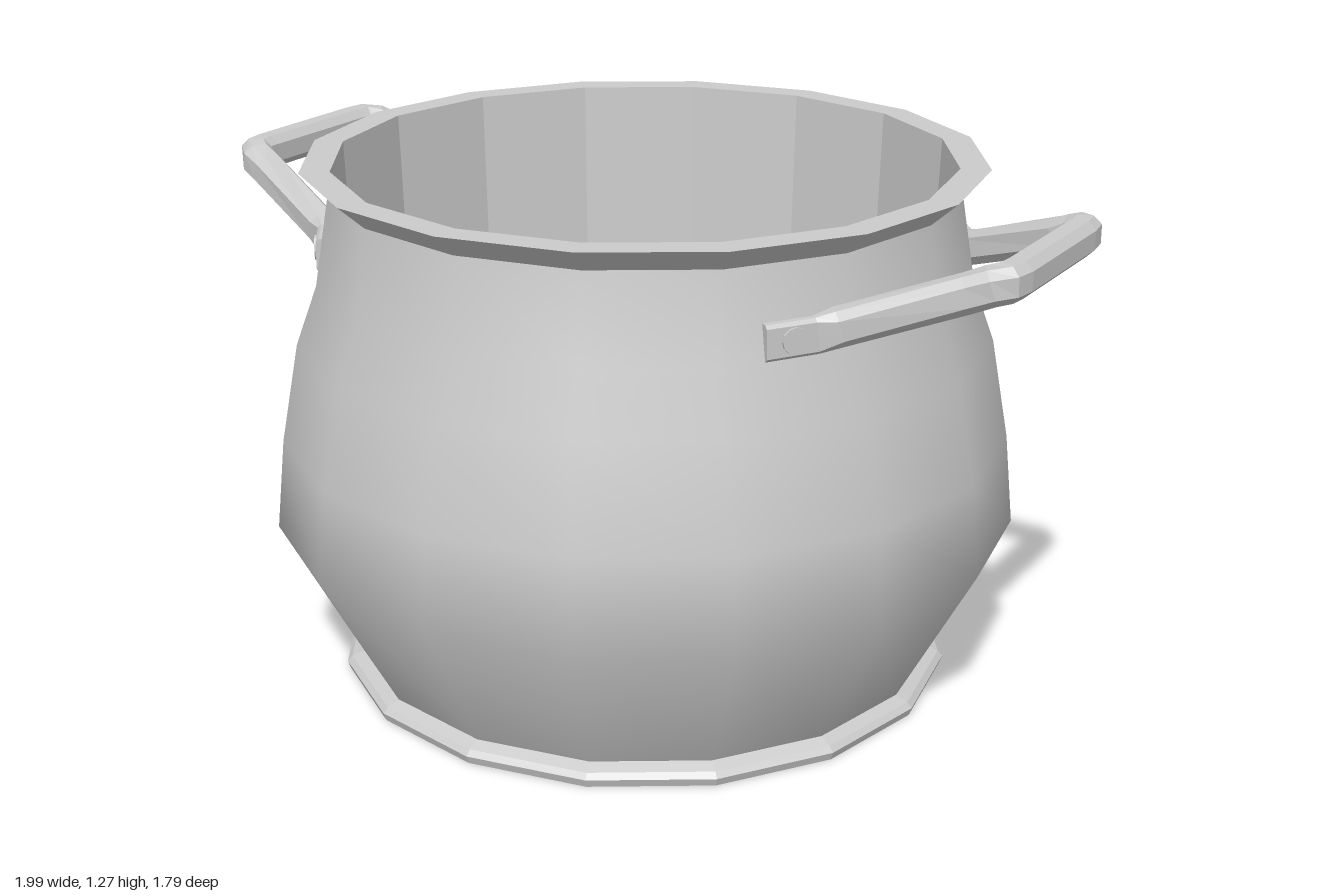
import * as THREE from 'three';

const SIDES = 16;
const TURN = THREE.MathUtils.degToRad(9.3);
const smooth = new THREE.MeshStandardMaterial({ color: 0xcccccc });
const flat = new THREE.MeshStandardMaterial({ color: 0xcccccc, flatShading: true });

// Sixteen-sided turned part from [radius, height] pairs
function turned(name, profile, material) {
  const points = profile.map(([r, y]) => new THREE.Vector2(r, y));
  const mesh = new THREE.Mesh(new THREE.LatheGeometry(points, SIDES, TURN), material);
  mesh.name = name;
  return mesh;
}

// Sweeps a chamfered bar along stations [x, y, z, halfThickness]
function sweptBar(stations, halfHeight) {
  const centres = stations.map(([x, y, z]) => new THREE.Vector3(x, y, z));
  const last = centres.length - 1;
  const positions = [], index = [];
  const up = new THREE.Vector3(0, 1, 0);
  centres.forEach((c, i) => {
    const before = c.clone().sub(centres[Math.max(i - 1, 0)]).normalize();
    const after = centres[Math.min(i + 1, last)].clone().sub(c).normalize();
    const along = before.add(after).normalize();
    const side = along.clone().cross(up).normalize();
    const rise = side.clone().cross(along);
    const w = stations[i][3], h = halfHeight;
    const cw = w * 0.5, ch = Math.min(w, h) * 0.5;
    const section = [[w, h - ch], [cw, h], [-cw, h], [-w, h - ch],
      [-w, ch - h], [-cw, -h], [cw, -h], [w, ch - h]];
    for (const [s, r] of section) {
      const p = c.clone().addScaledVector(side, s).addScaledVector(rise, r);
      positions.push(p.x, p.y, p.z);
    }
  });
  for (let i = 0; i < last; i++) {
    for (let j = 0; j < 8; j++) {
      const a = i * 8 + j, b = i * 8 + (j + 1) % 8;
      index.push(a, b, a + 8, b, b + 8, a + 8);
    }
  }
  // End caps
  for (let j = 1; j < 7; j++) {
    index.push(0, j + 1, j);
    index.push(last * 8, last * 8 + j, last * 8 + j + 1);
  }
  // Reverse the winding: side x rise points back along the path
  for (let k = 0; k < index.length; k += 3) {
    [index[k + 1], index[k + 2]] = [index[k + 2], index[k + 1]];
  }
  const geometry = new THREE.BufferGeometry();
  geometry.setAttribute('position', new THREE.Float32BufferAttribute(positions, 3));
  geometry.setIndex(index);
  geometry.computeVertexNormals();
  return geometry;
}

// Bent bar handle with flattened, bolted ends, built facing +z
function createHandle(name, angle) {
  const handle = new THREE.Group();
  handle.name = name;
  const half = [
    [0.482, 1.052, 0.594, 0.015],
    [0.385, 1.055, 0.665, 0.016],
    [0.345, 1.068, 0.70, 0.036],
    [0.252, 1.16, 0.95, 0.038],
    [0.240, 1.178, 0.992, 0.038],
    [0.215, 1.183, 1.018, 0.038],
    [0.175, 1.183, 1.022, 0.038],
  ];
  const mirrored = half.map(([x, y, z, w]) => [-x, y, z, w]).reverse();
  const bar = new THREE.Mesh(sweptBar([...half, ...mirrored], 0.041), flat);
  bar.name = name + 'Bar';
  handle.add(bar);

  for (const s of [-1, 1]) {
    const bolt = new THREE.Mesh(new THREE.CylinderGeometry(0.03, 0.03, 0.042, 12), flat);
    bolt.name = name + 'Bolt';
    bolt.position.set(s * 0.43, 1.054, 0.632);
    bolt.rotation.set(Math.PI / 2, 0, -s * THREE.MathUtils.degToRad(36), 'YXZ');
    bolt.rotation.set(Math.PI / 2, s * THREE.MathUtils.degToRad(36), 0, 'YXZ');
    handle.add(bolt);
  }
  handle.rotation.y = angle;
  return handle;
}

export function createModel() {
  const pot = new THREE.Group();
  pot.name = 'cookingPot';

  // Flat base with a small projecting foot ring
  pot.add(turned('base', [[0, 0], [0.75, 0], [0.757, 0.02], [0.745, 0.033], [0.715, 0.045]], flat));

  // Bulging outer wall
  pot.add(turned('outerWall', [[0.715, 0.045], [0.905, 0.4], [0.882, 0.62], [0.837, 0.86],
    [0.785, 1.0], [0.748, 1.215]], smooth));

  // Flared lip with a flat top
  pot.add(turned('lip', [[0.748, 1.215], [0.812, 1.272], [0.74, 1.272]], flat));

  // Straight inner wall and floor
  pot.add(turned('innerWall', [[0.74, 1.272], [0.70, 0.05], [0, 0.05]], flat));

  // Two opposite handles
  const angle = THREE.MathUtils.degToRad(55);
  pot.add(createHandle('frontHandle', angle));
  pot.add(createHandle('backHandle', angle + Math.PI));
  return pot;
}
